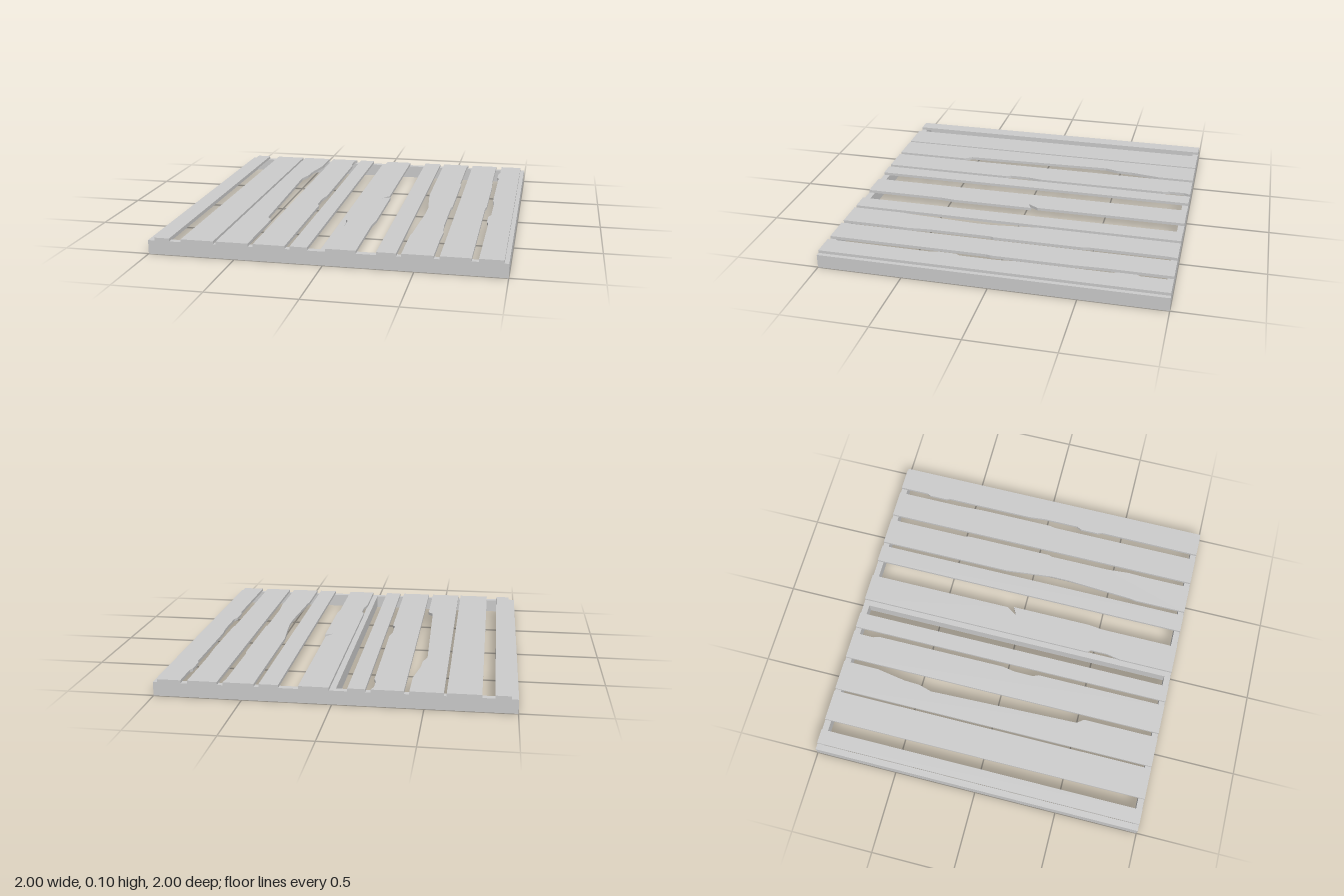
import * as THREE from 'three';

const FRAME_H = 0.08, TOP = 0.097, BEAM = 0.037;

// Each plank: left x, right x, and optional [x, z] points (back to front) along a worn edge
const PLANKS = [
  { l: -0.962, r: -0.875 },
  { l: -0.807, r: -0.619 },
  { l: -0.604, r: -0.42, right: [[-0.42, -0.78], [-0.45, -0.6], [-0.455, -0.5], [-0.478, -0.42],
    [-0.476, -0.36], [-0.465, 0], [-0.45, 0.5], [-0.42, 0.54]] },
  { l: -0.391, r: -0.211, right: [[-0.225, -0.96], [-0.225, -0.87], [-0.213, -0.83], [-0.211, -0.03],
    [-0.225, 0.05], [-0.225, 0.17], [-0.211, 0.2]] },
  { l: -0.183, r: -0.085 },
  { l: 0.015, r: 0.184, left: [[0.015, 0.46], [0.031, 0.48], [0.031, 0.58], [0.02, 0.64], [0.015, 0.67]],
    right: [[0.184, -0.1], [0.145, -0.035], [0.194, -0.06], [0.194, 0.43], [0.184, 0.52]] },
  { l: 0.294, r: 0.403 },
  { l: 0.43, r: 0.604, left: [[0.43, -0.17], [0.46, 0.12], [0.46, 0.23], [0.436, 0.64], [0.43, 0.68]],
    right: [[0.597, -0.94], [0.597, -0.5], [0.604, -0.46], [0.604, 0.07], [0.597, 0.09],
      [0.597, 0.46], [0.608, 0.6], [0.604, 0.7]] },
  { l: 0.636, r: 0.804, right: [[0.804, -0.6], [0.811, -0.43], [0.811, 0.03], [0.804, 0.06]] },
  { l: 0.842, r: 0.975, left: [[0.842, -0.82], [0.831, -0.8], [0.831, -0.69], [0.84, -0.67], [0.84, -0.12],
    [0.85, -0.02], [0.85, 0.2], [0.835, 0.23], [0.835, 0.34], [0.845, 0.37]] },
];

export function createModel() {
  const group = new THREE.Group();
  const material = new THREE.MeshStandardMaterial({ color: 0xcccccc, flatShading: true });

  const add = (name, geometry) => {
    const mesh = new THREE.Mesh(geometry, material);
    mesh.name = name;
    group.add(mesh);
    return mesh;
  };
  const beam = (name, w, d, x, z) =>
    add(name, new THREE.BoxGeometry(w, FRAME_H, d)).position.set(x, FRAME_H / 2, z);

  // Open frame with a joist down the middle
  const edge = 1 - BEAM / 2;
  const inner = 2 - 2 * BEAM;
  beam('frontBeam', 2, BEAM, 0, edge);
  beam('backBeam', 2, BEAM, 0, -edge);
  beam('leftBeam', BEAM, inner, edge, 0);
  beam('rightBeam', BEAM, inner, -edge, 0);
  beam('middleJoist', BEAM, inner, 0, 0);

  // Boards: outline drawn in x/z, extruded downwards from the top surface
  PLANKS.forEach(({ l, r, left = [], right = [] }, i) => {
    const outline = [[l, -1], [r, -1], ...right, [r, 1], [l, 1], ...[...left].reverse()];
    const shape = new THREE.Shape(outline.map(([x, z]) => new THREE.Vector2(x, z)));
    const geometry = new THREE.ExtrudeGeometry(shape, { depth: TOP - FRAME_H, bevelEnabled: false });
    geometry.rotateX(Math.PI / 2).translate(0, TOP, 0);
    add(`plank${i + 1}`, geometry);
  });

  return group;
}
